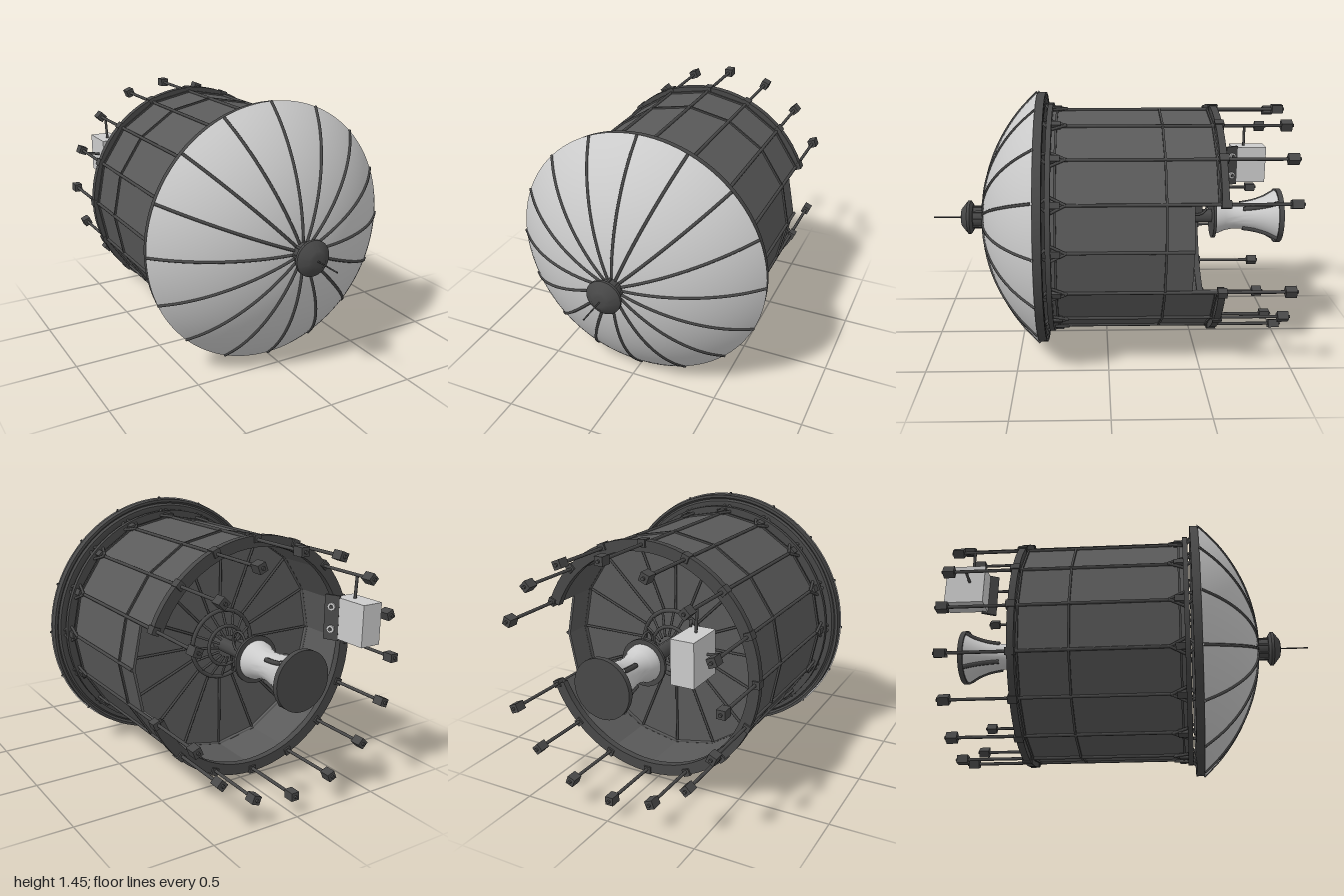
import * as THREE from 'three';
import { toCreasedNormals } from 'three/addons/utils/BufferGeometryUtils.js';

const STEP = Math.PI / 8; // sixteen bays round the body
const V = (x, y, z) => new THREE.Vector3(x, y, z);
const paint = (color) => new THREE.MeshStandardMaterial({ color, side: THREE.DoubleSide });
const light = paint(0xcccccc), panelGrey = paint(0x5a5a5a), dark = paint(0x484848);

export function createModel() {
  const model = new THREE.Group();
  const body = new THREE.Group(); // long axis is z
  body.name = 'body';
  body.position.y = 0.733;
  model.add(body);

  const add = (name, geo, mat, parent = body) => {
    const m = new THREE.Mesh(geo, mat);
    m.name = name;
    parent.add(m);
    return m;
  };
  // Turned part about z from [radius, z] pairs
  const turned = (name, pts, mat, seg = 64, start = 0, len = Math.PI * 2) => {
    const g = new THREE.LatheGeometry(pts.map(p => new THREE.Vector2(...p)), seg, start, len);
    return add(name, toCreasedNormals(g.rotateX(Math.PI / 2), seg > 16 ? 0.5 : 0.2), mat);
  };
  const band = (name, r0, r1, z0, z1, mat, seg, start, len) =>
    turned(name, [[r0, z0], [r1, z0], [r1, z1], [r0, z1], [r0, z0]], mat, seg, start, len);
  const rod = (name, a, b, r, mat = dark, parent = body) => {
    const m = add(name, new THREE.CylinderGeometry(r, r, a.distanceTo(b), 8), mat, parent);
    m.position.copy(a).lerp(b, 0.5);
    m.quaternion.setFromUnitVectors(V(0, 1, 0), b.clone().sub(a).normalize());
    return m;
  };
  const box = (name, w, h, d, x, y, z, mat, parent) => {
    const m = add(name, new THREE.BoxGeometry(w, h, d), mat, parent);
    m.position.set(x, y, z);
    return m;
  };
  // A group turned about the axis; inside it +x points outward
  const spoke = (name, angle) => {
    const g = new THREE.Group();
    g.name = name;
    g.rotation.z = angle;
    body.add(g);
    return g;
  };

  // Dome: a spherical cap
  const R = 0.961, rim = 0.722, apex = 0.71;
  const domeZ = (r) => apex - R + Math.sqrt(R * R - r * r);
  const cap = [];
  for (let i = 0; i <= 24; i++) {
    const r = rim * (1 - i / 24);
    cap.push([r, domeZ(r)]);
  }
  turned('dome', cap, light, 96);
  turned('domeRim', [[0, 0.352], [0.62, 0.352], [0.65, 0.34], [0.68, 0.34], [0.69, 0.352],
    [0.7, 0.34], [0.715, 0.34], [0.715, 0.385], [0.6, 0.385]], dark, 96);
  const ribPath = new THREE.CatmullRomCurve3([...Array(9).keys()].map(i => {
    const r = 0.05 + (rim - 0.05) * i / 8;
    return V(r, 0, domeZ(r) + 0.002);
  }));
  const ribGeo = new THREE.TubeGeometry(ribPath, 24, 0.008, 6);

  // Nose hub with needle
  turned('noseHub', [[0.06, 0.69], [0.06, 0.77], [0.075, 0.77], [0.097, 0.785], [0.097, 0.8],
    [0.05, 0.838], [0.03, 0.842], [0, 0.842]], dark, 32);
  for (let i = 0; i < 8; i++) {
    box('hubRib', 0.012, 0.012, 0.07, 0.061, 0, 0.735, dark, spoke('hubRibMount', i * Math.PI / 4));
  }
  rod('noseNeedle', V(0, 0, 0.83), V(0, 0, 1), 0.004);

  // Frame rings; the rear ones leave two bays open on the left side
  const gap = [Math.PI / 2 + STEP, Math.PI * 2 - 2 * STEP];
  band('frontRing', 0.58, 0.655, 0.298, 0.325, dark, 64);
  band('rearRing', 0.585, 0.645, -0.605, -0.568, dark, 56, ...gap);
  band('seamRing', 0.605, 0.63, -0.297, -0.285, dark, 16);
  band('frontSeam', 0.605, 0.63, 0.27, 0.282, dark, 16);
  band('rearSeam', 0.605, 0.63, -0.562, -0.552, dark, 14, ...gap);
  turned('frontBulkhead', [[0, 0.305], [0.6, 0.305]], panelGrey, 16);
  turned('innerBulkhead', [[0, -0.27], [0.605, -0.27]], panelGrey, 16);

  const bayWidth = 2 * 0.62 * Math.sin(STEP / 2), apothem = 0.62 * Math.cos(STEP / 2);
  for (let i = 0; i < 16; i++) {
    // Wall panel; the two beside the opening are short
    const rear = i === 0 || i === 15 ? -0.435 : -0.585;
    box('wallPanel', 0.014, bayWidth, 0.3 - rear, apothem - 0.007, 0, (0.3 + rear) / 2,
      panelGrey, spoke('wallBay', (i + 0.5) * STEP));

    // Longeron with front foot, rear probe and end block
    const g = spoke('longeronLine', i * STEP);
    add('domeRib', ribGeo, dark, g);
    const end = i === 0 ? -0.435 : -0.99;
    rod('longeron', V(0.624, 0, 0.32), V(0.624, 0, end), 0.009, dark, g);
    for (const s of [-1, 1]) {
      rod('footBrace', V(0.63, 0, 0.22), V(0.63, s * 0.04, 0.3), 0.008, dark, g);
      rod('domeStrut', V(0.63, s * 0.04, 0.31), V(0.66, s * 0.01, 0.35), 0.008, dark, g);
    }
    box('footBlock', 0.03, 0.035, 0.05, 0.63, 0, 0.275, dark, g);
    if (i > 0) {
      box('probeBlock', 0.045, 0.045, 0.06, 0.624, 0, -0.95, dark, g);
      box('probeSocket', 0.04, 0.04, 0.05, 0.63, 0, -0.59, dark, g);
    }
    // Spoked wheel and stiffeners on the inner bulkhead
    rod('wheelSpoke', V(0.06, 0, -0.36), V(0.19, 0, -0.3), 0.007, dark, g);
    rod('bulkheadStiffener', V(0.19, 0, -0.28), V(0.6, 0, -0.28), 0.007, dark, g);
  }
  add('bulkheadWheel', new THREE.TorusGeometry(0.19, 0.012, 8, 40), dark).position.z = -0.3;
  add('innerWheel', new THREE.TorusGeometry(0.11, 0.01, 8, 32), dark).position.z = -0.34;

  // Tail horn on its support tube
  rod('hornSupport', V(0, 0, -0.27), V(0, 0, -0.62), 0.04);
  const valve = add('valveRing', new THREE.TorusGeometry(0.055, 0.007, 8, 28), dark);
  valve.rotation.y = Math.PI / 2;
  valve.position.set(0.04, 0.075, -0.52);
  box('valveBody', 0.04, 0.05, 0.06, 0.02, 0.05, -0.52, dark);
  band('hornFlange', 0, 0.128, -0.622, -0.606, dark, 40);
  const horn = [[0.148, -0.975], [0.115, -0.92], [0.09, -0.85], [0.077, -0.78], [0.075, -0.73],
    [0.085, -0.68], [0.1, -0.645], [0.103, -0.62]];
  turned('horn', horn, light, 48);
  band('hornDisc', 0, 0.157, -1, -0.972, dark, 48);
  const finPath = new THREE.CatmullRomCurve3(horn.slice(0, 4).map(([r, z]) => V(r + 0.004, 0, z)));
  for (let i = 0; i < 4; i++) {
    const fin = add('hornFin', new THREE.TubeGeometry(finPath, 12, 0.012, 6), dark,
      spoke('hornFinMount', (i + 0.5) * Math.PI / 2));
    fin.scale.y = 1.1;
  }

  // Instrument box with a tilted control plate and two knobs
  const unit = new THREE.Group();
  unit.name = 'instrument';
  unit.position.set(-0.435, 0.21, -0.885);
  body.add(unit);
  box('instrumentBox', 0.12, 0.22, 0.21, 0, 0, 0, light, unit);
  const plate = new THREE.Group();
  plate.name = 'controlPlate';
  plate.position.set(0.072, 0, 0.11);
  plate.rotation.y = 0.45;
  unit.add(plate);
  box('plate', 0.014, 0.24, 0.08, 0, 0, 0, dark, plate);
  for (const y of [-0.06, 0.06]) {
    rod('knob', V(0, y, 0), V(0.018, y, 0), 0.022, light, plate);
    rod('knobCentre', V(0.01, y, 0), V(0.024, y, 0), 0.01, dark, plate);
  }
  rod('instrumentArm', V(-0.442, 0.442, -0.86), V(-0.435, 0.3, -0.86), 0.008);
  rod('instrumentLowerArm', V(-0.577, 0.239, -0.86), V(-0.48, 0.22, -0.86), 0.008);
  return model;
}
